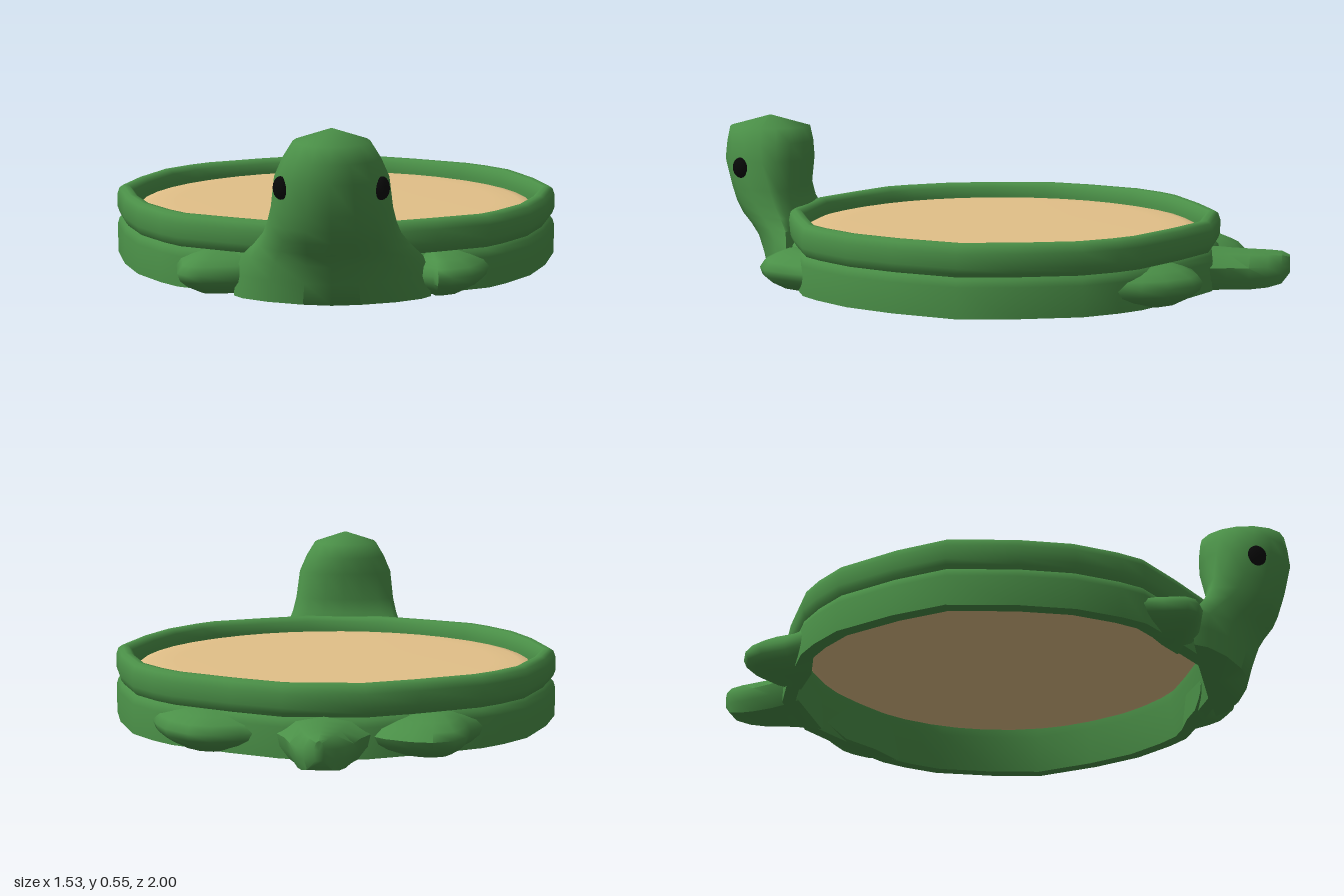
import * as THREE from 'three';
import { mergeVertices, toCreasedNormals } from 'three/addons/utils/BufferGeometryUtils.js';

const green = new THREE.MeshStandardMaterial({ color: 0x4a8f47, side: THREE.DoubleSide });
const tan = new THREE.MeshStandardMaterial({ color: 0xe2c088 });
const black = new THREE.MeshStandardMaterial({ color: 0x080808 });

// Skin a series of closed sections; either cap the ends or join last to first.
function loft(sections, { loop = false, crease = 0.9 } = {}) {
  const n = sections[0].length, m = sections.length;
  const pos = sections.flat(2), idx = [];
  for (let i = 0; i < (loop ? m : m - 1); i++) {
    for (let j = 0; j < n; j++) {
      const a = i * n + j, b = i * n + (j + 1) % n;
      const k = ((i + 1) % m) * n, c = k + j, d = k + (j + 1) % n;
      idx.push(a, c, b, b, c, d);
    }
  }
  if (!loop) {
    [0, m - 1].forEach((s) => {
      const centre = [0, 1, 2].map((k) => sections[s].reduce((t, p) => t + p[k], 0) / n);
      const c = pos.push(...centre) / 3 - 1;
      for (let j = 0; j < n; j++) {
        const a = s * n + j, b = s * n + (j + 1) % n;
        idx.push(...(s ? [a, c, b] : [c, a, b]));
      }
    });
  }
  // Turn the faces outwards if the enclosed volume is negative.
  const P = (i) => new THREE.Vector3().fromArray(pos, i * 3);
  let volume = 0;
  for (let i = 0; i < idx.length; i += 3) volume += P(idx[i]).dot(P(idx[i + 1]).cross(P(idx[i + 2])));
  if (volume < 0) idx.reverse();
  const geo = new THREE.BufferGeometry();
  geo.setAttribute('position', new THREE.Float32BufferAttribute(pos, 3));
  geo.setIndex(idx);
  return toCreasedNormals(mergeVertices(geo), crease);
}

function add(group, name, geometry, material) {
  const mesh = new THREE.Mesh(geometry, material);
  mesh.name = name;
  group.add(mesh);
  return mesh;
}

// Foot: a wedge of stacked plan layers, thin at the tip and full height at the wall.
function foot(outline, root) {
  const layers = [[0, 0.55], [0.025, 0.82], [0.045, 0.95], [0.07, 1], [0.095, 0.9], [0.115, 0.68], [0.13, 0.45]];
  return loft(layers.map(([y, s]) => [...outline, root].map(([x, z]) =>
    [root[0] + (x - root[0]) * s, y, root[1] + (z - root[1]) * s])), { crease: 1.2 });
}

export function createModel() {
  const model = new THREE.Group();
  model.name = 'turtleSandbox';

  // Wall: faceted outline with a two-bulge section swept around it
  const half = [[0.15, 0.73], [0.33, 0.65], [0.5, 0.565], [0.56, 0.5], [0.65, 0.37], [0.715, 0.2],
    [0.765, -0.02], [0.725, -0.2], [0.65, -0.4], [0.57, -0.5], [0.5, -0.565], [0.3, -0.675], [0.13, -0.75]];
  const outline = [...half, ...half.map(([x, z]) => [-x, z]).reverse()];
  const section = [[0, 0], [0, 0.1], [0.006, 0.12], [0.015, 0.13], [0.006, 0.142], [0, 0.16], [0, 0.205],
    [0.008, 0.228], [0.022, 0.237], [0.042, 0.235], [0.056, 0.22], [0.062, 0.19], [0.064, 0.13], [0.045, 0]];
  add(model, 'wall', loft(outline.map(([x, z]) => {
    const r = Math.hypot(x, z);
    return section.map(([inset, y]) => [x * (1 - inset / r), y, z * (1 - inset / r)]);
  }), { loop: true }), green);

  // Sand: thin disc with a softly rounded rim
  const sandProfile = [[0, 0.155], [0.66, 0.155], [0.685, 0.16], [0.692, 0.168], [0.68, 0.18],
    [0.64, 0.188], [0.55, 0.192], [0, 0.193]].map(([r, y]) => new THREE.Vector2(r, y));
  add(model, 'sand', new THREE.LatheGeometry(sandProfile, 40), tan);

  // Head flaring into the chest: height, half width, front z, back z, widest place, corner power
  const head = new THREE.Group();
  head.name = 'head';
  model.add(head);
  const rows = [[0, 0.31, 0.835, 0.69, 0.02, 1.3], [0.07, 0.305, 0.86, 0.685, 0.02, 1.35],
    [0.13, 0.285, 0.885, 0.685, 0.04, 1.4], [0.17, 0.245, 0.91, 0.685, 0.1, 1.25],
    [0.21, 0.215, 0.94, 0.69, 0.18, 1.1], [0.25, 0.2, 0.957, 0.705, 0.22, 1],
    [0.3, 0.188, 0.975, 0.71, 0.27, 1], [0.4, 0.176, 1, 0.69, 0.4, 1], [0.46, 0.15, 0.995, 0.69, 0.45, 1],
    [0.512, 0.118, 0.986, 0.697, 0.48, 1], [0.55, 0.006, 0.845, 0.835, 0.5, 1]];
  add(head, 'headBody', loft(rows.map(([y, w, front, back, place, power]) => {
    const widest = back + (front - back) * place;
    return Array.from({ length: 16 }, (_, i) => {
      const a = i / 16 * Math.PI * 2, s = Math.sin(a), c = Math.cos(a);
      const depth = c > 0 ? front - widest : widest - back;
      return [w * Math.sign(s) * Math.abs(s) ** power, y, widest + depth * Math.sign(c) * Math.abs(c) ** power];
    });
  }), { crease: 1.3 }), green);

  for (const side of [1, -1]) {
    const eye = add(head, side > 0 ? 'leftEye' : 'rightEye', new THREE.SphereGeometry(1, 12, 10), black);
    eye.scale.set(0.022, 0.036, 0.033);
    eye.position.set(side * 0.152, 0.377, 0.9);
    eye.rotation.y = -side * 0.5;
  }

  // Feet, each with its own slightly different plan
  const feet = {
    frontLeftFoot: [[[0.17, 0.66], [0.24, 0.715], [0.315, 0.73], [0.33, 0.765], [0.375, 0.757], [0.44, 0.72],
      [0.48, 0.64], [0.51, 0.53]], [0.32, 0.59]],
    frontRightFoot: [[[-0.51, 0.53], [-0.495, 0.62], [-0.487, 0.7], [-0.46, 0.73], [-0.41, 0.735], [-0.3, 0.715],
      [-0.23, 0.69], [-0.18, 0.66]], [-0.33, 0.59]],
    backLeftFoot: [[[0.58, -0.47], [0.55, -0.57], [0.51, -0.65], [0.43, -0.725], [0.35, -0.743], [0.26, -0.715],
      [0.15, -0.69]], [0.36, -0.56]],
    backRightFoot: [[[-0.13, -0.71], [-0.19, -0.77], [-0.27, -0.81], [-0.34, -0.82], [-0.41, -0.79], [-0.445, -0.73],
      [-0.46, -0.64], [-0.53, -0.51]], [-0.34, -0.58]],
  };
  for (const [name, [plan, root]] of Object.entries(feet)) add(model, name, foot(plan, root), green);

  // Tail: rows of z, half width, bottom, top
  const tail = [[-0.69, 0.18, 0, 0.135], [-0.74, 0.148, 0, 0.132], [-0.8, 0.118, 0, 0.13], [-0.87, 0.098, 0, 0.128],
    [-0.93, 0.076, 0.006, 0.127], [-0.975, 0.05, 0.018, 0.124], [-1, 0.015, 0.05, 0.112]];
  add(model, 'tail', loft(tail.map(([z, w, low, high]) => {
    const h = high - low;
    return [[-0.75, 0], [0.75, 0], [0.95, 0.3], [1, 0.6], [0.6, 0.9], [0, 1], [-0.6, 0.9], [-1, 0.6], [-0.95, 0.3]]
      .map(([x, t]) => [x * w, low + t * h, z]);
  })), green);

  return model;
}
